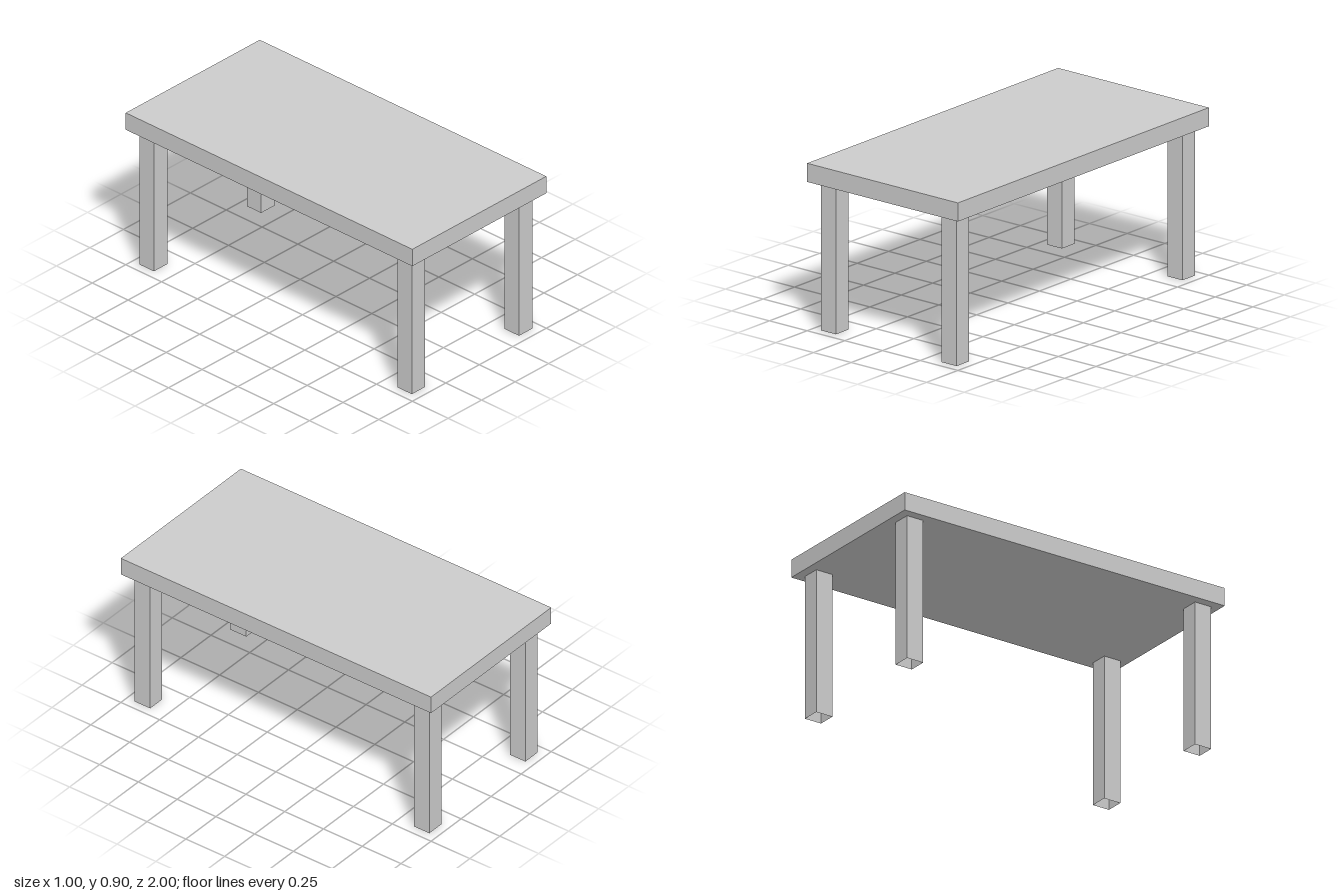
import * as THREE from 'three';

export function createModel() {
  const table = new THREE.Group();
  table.name = 'table';

  const topMaterial = new THREE.MeshStandardMaterial({ color: 0xcccccc, flatShading: true });
  const legMaterial = new THREE.MeshStandardMaterial({
    color: 0xcccccc, flatShading: true, side: THREE.DoubleSide,
  });

  // Slab top
  const thickness = 0.1, legHeight = 0.8, legWidth = 0.1;
  const top = new THREE.Mesh(new THREE.BoxGeometry(1, thickness, 2), topMaterial);
  top.name = 'tableTop';
  top.position.y = legHeight + thickness / 2;
  table.add(top);

  // Square hollow legs, open at the foot
  const radius = legWidth / Math.SQRT2;
  const legGeometry = new THREE.CylinderGeometry(radius, radius, legHeight, 4, 1, true);
  legGeometry.rotateY(Math.PI / 4);
  for (const [sideName, x] of [['Left', 0.4], ['Right', -0.4]]) {
    for (const [endName, z] of [['front', 0.9], ['back', -0.9]]) {
      const leg = new THREE.Mesh(legGeometry, legMaterial);
      leg.name = `${endName}${sideName}Leg`;
      leg.position.set(x, legHeight / 2, z);
      table.add(leg);
    }
  }
  return table;
}
